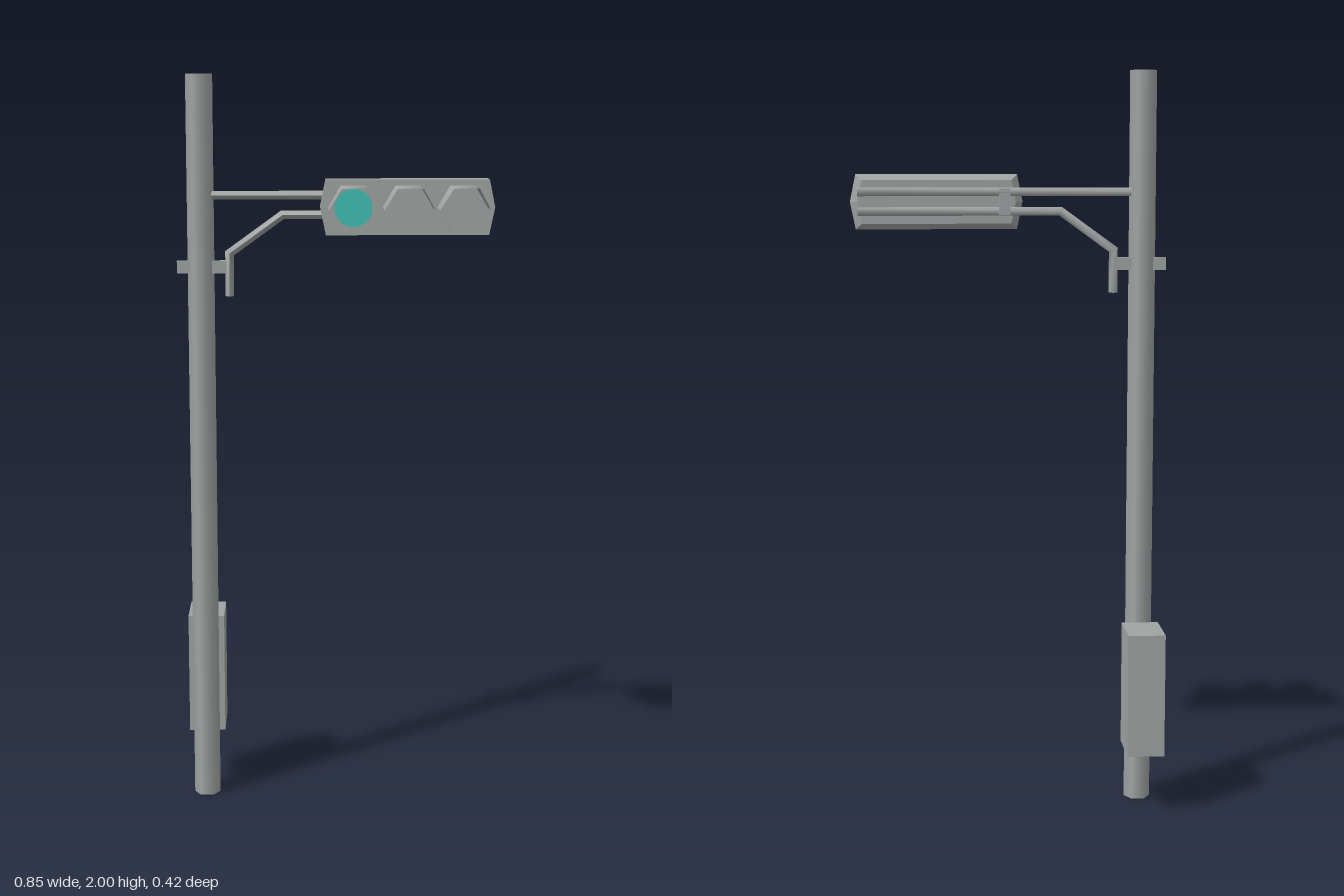
import * as THREE from 'three';
import { ConvexGeometry } from 'three/addons/geometries/ConvexGeometry.js';

// Six-sided pipe through points in the xy plane, mitred at the bends
function pipe(points, z, radius) {
  const pts = points.map(([x, y]) => new THREE.Vector2(x, y));
  const n = pts.length - 1;
  const geo = new THREE.CylinderGeometry(radius, radius, n, 6, n);
  const mitres = pts.map((p, i) => {
    const normal = (a, b) => {
      const t = b.clone().sub(a).normalize();
      return new THREE.Vector2(-t.y, t.x);
    };
    const before = normal(pts[Math.max(i - 1, 0)], pts[Math.max(i, 1)]);
    const after = normal(pts[Math.min(i, n - 1)], pts[Math.min(i + 1, n)]);
    const m = before.clone().add(after).normalize();
    return m.divideScalar(m.dot(before));
  });
  const pos = geo.attributes.position;
  for (let i = 0; i < pos.count; i++) {
    const row = Math.round(n / 2 - pos.getY(i));
    const p = pts[row], m = mitres[row], s = pos.getX(i);
    pos.setXYZ(i, p.x + m.x * s, p.y + m.y * s, z + pos.getZ(i));
  }
  geo.computeVertexNormals();
  return geo;
}

// Upper half of a hexagonal hood whose lower front corners are cut back
function visorGeometry(r, back, sideFront, topFront) {
  const geo = new THREE.CylinderGeometry(r, r, 1, 3, 1, true, Math.PI / 2, Math.PI);
  geo.rotateX(Math.PI / 2);
  const pos = geo.attributes.position;
  for (let i = 0; i < pos.count; i++) {
    const front = pos.getY(i) > r * 0.5 ? topFront : sideFront;
    pos.setZ(i, pos.getZ(i) > 0 ? front : back);
  }
  geo.computeVertexNormals();
  return geo;
}

export function createModel() {
  const model = new THREE.Group();
  const metal = new THREE.MeshStandardMaterial({ color: 0xa0a5a4, side: THREE.DoubleSide });
  metal.name = 'grey metal';
  const lit = new THREE.MeshStandardMaterial({ color: 0x3fc1b9 });
  lit.name = 'teal light';

  const add = (name, geo, x = 0, y = 0, z = 0, mat = metal, parent = model) => {
    const mesh = new THREE.Mesh(geo, mat);
    mesh.name = name;
    mesh.position.set(x, y, z);
    parent.add(mesh);
    return mesh;
  };

  // Pole, control cabinet and clamp
  add('pole', new THREE.CylinderGeometry(0.036, 0.036, 2, 6, 1, false, Math.PI / 6), -0.36, 1, -0.027);
  add('cabinet', new THREE.BoxGeometry(0.1, 0.335, 0.15), -0.36, 0.337, -0.135);
  add('clamp', new THREE.BoxGeometry(0.135, 0.034, 0.022), -0.357, 1.488, -0.027);

  // Horizontal arm and bent brace
  add('upperArm', pipe([[-0.36, 1.68], [0.402, 1.68]], -0.027, 0.013));
  add('braceArm', pipe([[-0.283, 1.41], [-0.283, 1.525], [-0.14, 1.628], [0.402, 1.628]], -0.024, 0.013));
  add('armBracket', new THREE.BoxGeometry(0.03, 0.07, 0.028), 0.01, 1.654, -0.024);

  // Signal housing: pointed ends and a chamfered back
  const head = new THREE.Group();
  head.name = 'signalHead';
  head.position.set(0.191, 1.653, 0);
  model.add(head);
  const corners = [];
  for (const [z, tip, side, h] of [[0.062, 0.231, 0.216, 0.073], [0, 0.231, 0.216, 0.073], [-0.014, 0.212, 0.2, 0.058]]) {
    for (const s of [-1, 1]) {
      corners.push(new THREE.Vector3(s * tip, 0, z));
      corners.push(new THREE.Vector3(s * side, h, z), new THREE.Vector3(s * side, -h, z));
    }
  }
  add('housing', new ConvexGeometry(corners), 0, 0, 0, metal, head);

  // Three lamps with visors, the first one lit
  const lens = new THREE.CylinderGeometry(0.065, 0.065, 0.03, 6, 1, false, Math.PI / 6);
  lens.rotateX(Math.PI / 2);
  const visor = visorGeometry(0.066, 0.06, 0.175, 0.206);
  for (let i = 0; i < 3; i++) {
    const x = (i - 1) * 0.144;
    add('lens', lens, x, 0, 0.07, metal, head);
    add('visor', visor, x, 0, 0, metal, head);
  }
  add('litLamp', new THREE.CircleGeometry(0.05, 24), -0.144, 0, 0.087, lit, head);

  return model;
}
